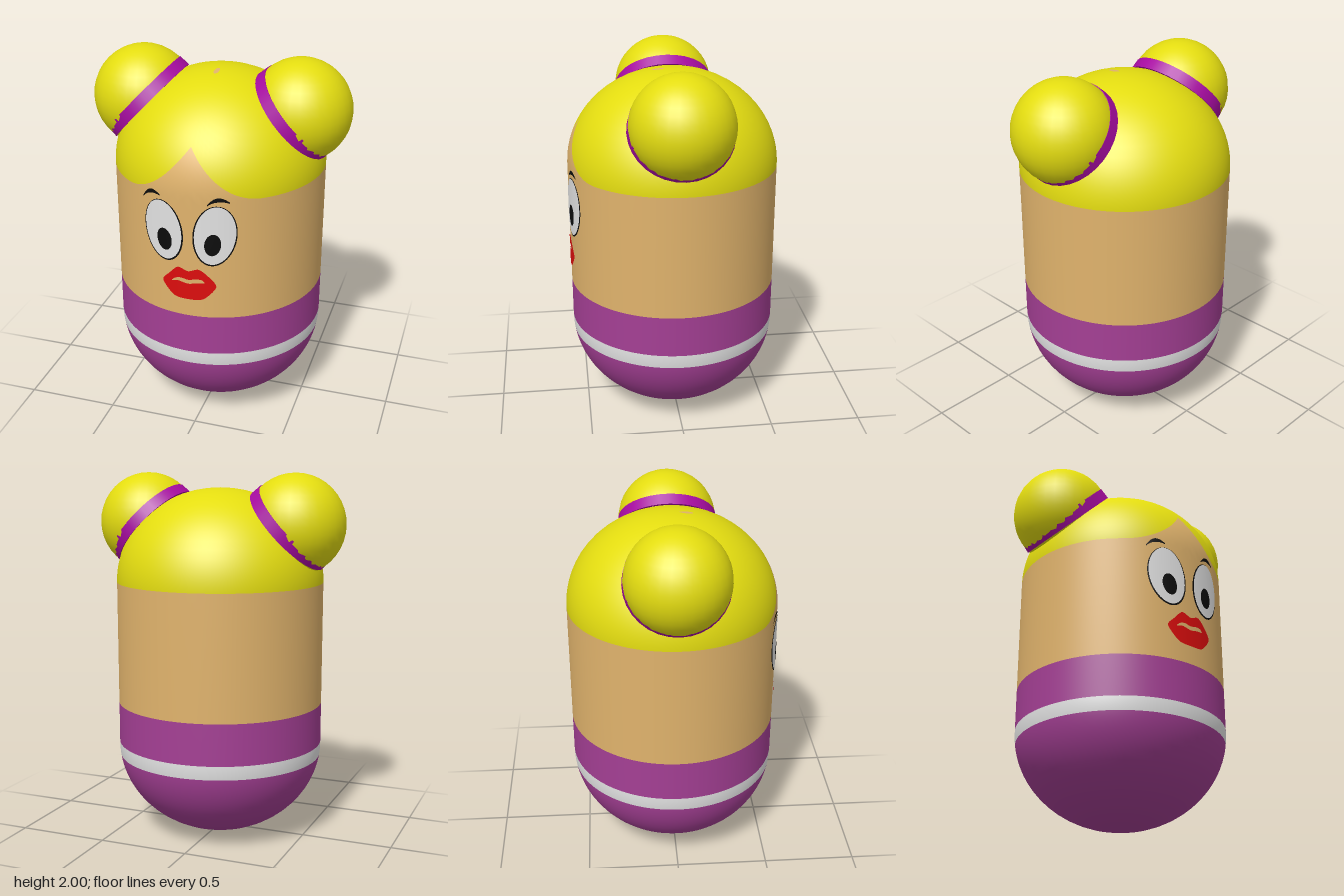
import * as THREE from 'three';

const mat = (name, color) => {
  const m = new THREE.MeshStandardMaterial({ color });
  m.name = name;
  return m;
};

// Capsule body: straight side between two domes
const RADIUS = 0.568, DOME = 0.505, LOW = 0.505, HIGH = 1.415, TOP = 1.92;
const domeOffset = (y) => (y > HIGH ? y - HIGH : y < LOW ? y - LOW : 0) / DOME;
const radiusAt = (y) => RADIUS * Math.sqrt(Math.max(0, 1 - domeOffset(y) ** 2));

// Grid of rows x columns; point(i, j) returns [position, normal]
function gridGeometry(columns, rows, point) {
  const pos = [], nor = [], index = [];
  for (let j = 0; j <= rows; j++) {
    for (let i = 0; i <= columns; i++) {
      const [p, n] = point(i / columns, j / rows);
      pos.push(p.x, p.y, p.z);
      nor.push(n.x, n.y, n.z);
      if (i < columns && j < rows) {
        const a = j * (columns + 1) + i, b = a + columns + 1;
        index.push(a, a + 1, b, a + 1, b + 1, b);
      }
    }
  }
  const g = new THREE.BufferGeometry();
  g.setAttribute('position', new THREE.Float32BufferAttribute(pos, 3));
  g.setAttribute('normal', new THREE.Float32BufferAttribute(nor, 3));
  g.setIndex(index);
  return g;
}

function bodyNormal(x, y, z) {
  return new THREE.Vector3(x / RADIUS ** 2, domeOffset(y) / DOME, z / RADIUS ** 2).normalize();
}

// Band of the body between two heights, each a function of the angle from the front
function bodyBand(lower, upper) {
  return gridGeometry(144, 18, (u, v) => {
    const angle = (u * 2 - 1) * Math.PI;
    const k = (1 - Math.cos(v * Math.PI)) / 2;
    const y = THREE.MathUtils.lerp(lower(angle), upper(angle), k);
    const r = radiusAt(y);
    const x = r * Math.sin(angle), z = r * Math.cos(angle);
    return [new THREE.Vector3(x, y, z), bodyNormal(x, y, z)];
  });
}

// Hairline: two curved locks meeting in a peak at the front
function hairline(angle) {
  const base = 1.41;
  if (Math.cos(angle) <= 0) return base;
  let y = base;
  for (let i = 0; i < 20; i++) {
    const x = Math.abs(radiusAt(y) * Math.sin(angle));
    y = base + 0.25 * Math.max(0, 1 - x / 0.36) ** 2;
  }
  return y;
}

// Painted patch on the front, filled from an outer curve to an inner curve
function decal(outer, inner, lift) {
  return gridGeometry(48, 6, (u, v) => {
    const a = outer(u), b = inner(u);
    const x = THREE.MathUtils.lerp(a.x, b.x, v), y = THREE.MathUtils.lerp(a.y, b.y, v);
    const z = Math.sqrt(Math.max(0, radiusAt(y) ** 2 - x * x));
    const n = bodyNormal(x, y, z);
    return [new THREE.Vector3(x, y, z).addScaledVector(n, lift), n];
  });
}

function ellipse(cx, cy, rx, ry, tilt, lift) {
  const c = Math.cos(tilt), s = Math.sin(tilt);
  const edge = (u) => {
    const ex = rx * Math.cos(u * Math.PI * 2), ey = ry * Math.sin(u * Math.PI * 2);
    return { x: cx + ex * c - ey * s, y: cy + ex * s + ey * c };
  };
  return decal(edge, () => ({ x: cx, y: cy }), lift);
}

function loop(points) {
  const curve = new THREE.CatmullRomCurve3(
    points.map(([x, y]) => new THREE.Vector3(x, y, 0)), true, 'catmullrom', 0.4);
  return (u) => curve.getPoint(u);
}

export function createModel() {
  const hair = mat('hair yellow', 0xe4dd10);
  const skin = mat('skin tan', 0xe0b36c);
  const dress = mat('dress purple', 0xa43f94);
  const band = mat('hair band magenta', 0xa80ca2);
  const white = mat('white', 0xe2e2e2);
  const black = mat('black', 0x0c0c0c);
  const red = mat('lip red', 0xdc0d0d);

  const model = new THREE.Group();
  model.name = 'capsuleFigure';
  const add = (name, geometry, material, parent = model) => {
    const mesh = new THREE.Mesh(geometry, material);
    mesh.name = name;
    parent.add(mesh);
    return mesh;
  };

  // Body bands from the bottom up
  const at = (y) => () => y;
  add('dressBottom', bodyBand(at(0), at(0.44)), dress);
  add('dressStripe', bodyBand(at(0.44), at(0.515)), white);
  add('dressTop', bodyBand(at(0.515), at(0.74)), dress);
  add('skin', bodyBand(at(0.74), hairline), skin);
  add('hair', bodyBand(hairline, at(TOP)), hair);

  // Small gap at the end of the parting
  const gap = new THREE.CircleGeometry(1, 16).scale(0.014, 0.036, 1);
  gap.rotateX(-Math.PI / 2 + 0.115).translate(0, 1.918, 0.075);
  add('partingGap', gap, skin);

  // Hair buns with bands
  for (const side of [1, -1]) {
    const bun = new THREE.Group();
    bun.name = side > 0 ? 'leftBun' : 'rightBun';
    model.add(bun);
    add('bunHair', new THREE.SphereGeometry(0.272, 32, 20), hair, bun)
      .position.set(side * 0.43, 1.728, 0);
    const ring = add('bunBand', new THREE.CylinderGeometry(0.272, 0.276, 0.062, 32), band, bun);
    ring.position.set(side * 0.41, 1.715, 0);
    ring.rotation.z = -side * 0.82;
  }

  // Eyes, leaning outward at the top
  for (const side of [1, -1]) {
    const eye = new THREE.Group();
    eye.name = side > 0 ? 'leftEye' : 'rightEye';
    model.add(eye);
    const tilt = -side * 0.13;
    add('eyeOutline', ellipse(side * 0.135, 1.214, 0.109, 0.169, tilt, 0.002), black, eye);
    add('eyeWhite', ellipse(side * 0.136, 1.217, 0.102, 0.163, tilt, 0.004), white, eye);
    add('pupil', ellipse(side * 0.127, 1.167, 0.041, 0.061, tilt, 0.006), black, eye);
  }

  // Eyebrows: tapering arcs
  const brow = (name, points) => {
    const arc = new THREE.QuadraticBezierCurve(...points.map((p) => new THREE.Vector2(...p)));
    const edge = (sign) => (u) => {
      const p = arc.getPoint(u);
      return { x: p.x, y: p.y + sign * (0.003 + 0.008 * Math.sin(u * Math.PI)) };
    };
    add(name, decal(edge(-1), edge(1), 0.004), black);
  };
  brow('rightBrow', [[-0.25, 1.375], [-0.21, 1.44], [-0.15, 1.405]]);
  brow('leftBrow', [[0.1, 1.385], [0.15, 1.44], [0.21, 1.4]]);

  // Lips around a narrow opening, listed anticlockwise
  const lipEdge = loop([[0.145, 0.925], [0.105, 0.985], [0.055, 1.022], [0, 1.005],
    [-0.055, 1.022], [-0.105, 0.975], [-0.143, 0.925], [-0.08, 0.85], [0, 0.84], [0.08, 0.85]]);
  const opening = loop([[0.085, 0.945], [0.07, 0.962], [0.04, 0.963], [0, 0.955],
    [-0.04, 0.962], [-0.07, 0.955], [-0.092, 0.935], [-0.055, 0.942], [0, 0.932], [0.05, 0.942]]);
  add('lips', decal(lipEdge, opening, 0.004), red);

  return model;
}
